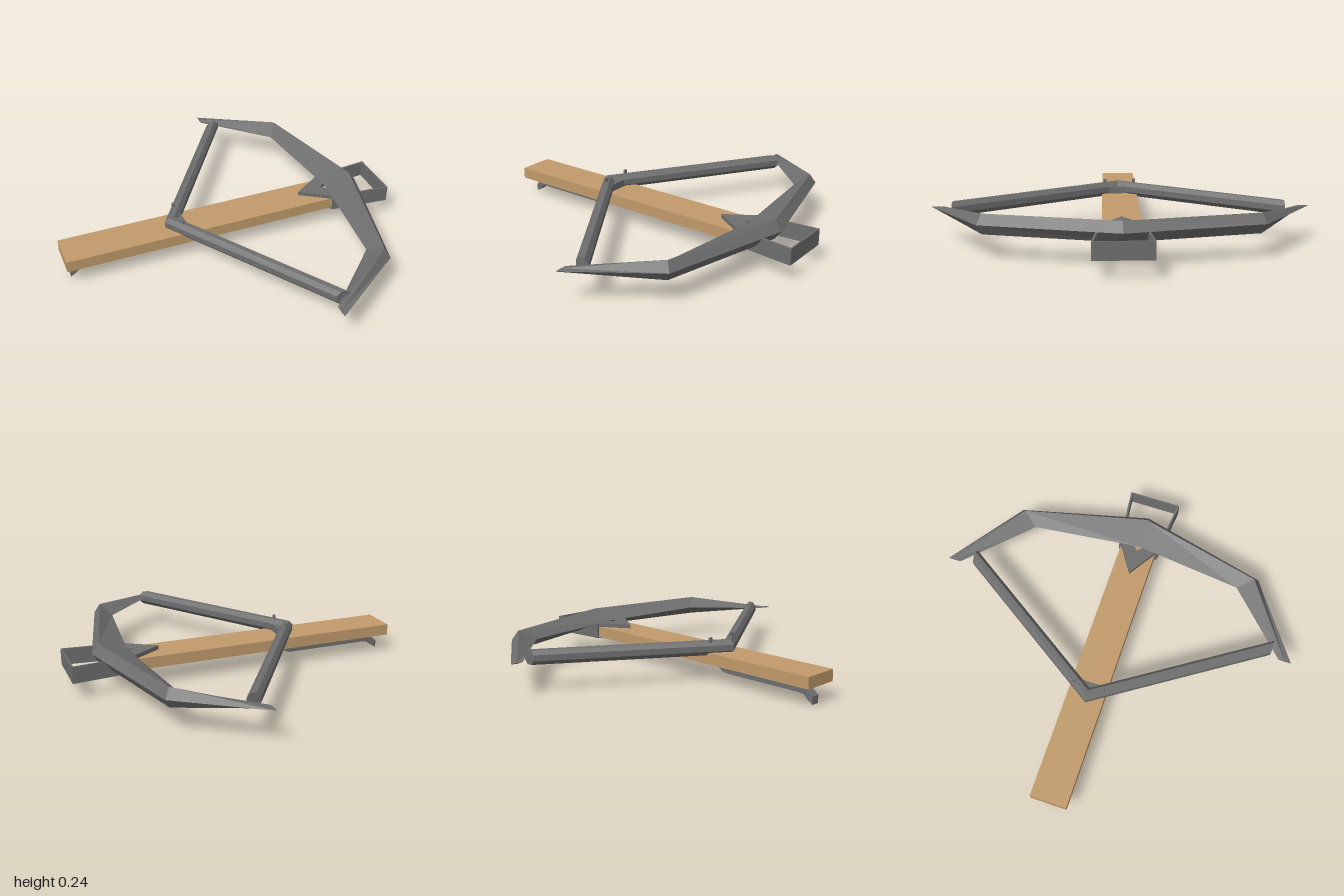
import * as THREE from 'three';

// Flat-shaded closed solid through cross-sections ordered along +z
// (each section counter-clockwise seen from +z).
function loft(rings) {
  const pos = [];
  const n = rings[0].length;
  const tri = (a, b, c) => pos.push(...a, ...b, ...c);
  for (let i = 0; i < rings.length - 1; i++) {
    for (let j = 0; j < n; j++) {
      const k = (j + 1) % n;
      tri(rings[i][j], rings[i][k], rings[i + 1][k]);
      tri(rings[i][j], rings[i + 1][k], rings[i + 1][j]);
    }
  }
  const first = rings[0], last = rings[rings.length - 1];
  for (let j = 1; j < n - 1; j++) {
    tri(first[0], first[j + 1], first[j]);
    tri(last[0], last[j], last[j + 1]);
  }
  const g = new THREE.BufferGeometry();
  g.setAttribute('position', new THREE.Float32BufferAttribute(pos, 3));
  g.computeVertexNormals();
  return g;
}

export function createModel() {
  const model = new THREE.Group();
  model.name = 'crossbow';
  const wood = new THREE.MeshStandardMaterial({ color: 0xc19a6b });
  wood.name = 'wood';
  const metal = new THREE.MeshStandardMaterial({ color: 0x6e6e6e });
  metal.name = 'grey metal';

  const add = (name, geometry, material) => {
    const mesh = new THREE.Mesh(geometry, material);
    mesh.name = name;
    model.add(mesh);
    return mesh;
  };
  const box = (name, material, x0, x1, y0, y1, z0, z1) =>
    add(name, new THREE.BoxGeometry(x1 - x0, y1 - y0, z1 - z0), material)
      .position.set((x0 + x1) / 2, (y0 + y1) / 2, (z0 + z1) / 2);

  // Wooden stock
  box('stock', wood, -0.93, 0.6, 0.1, 0.162, -0.1, 0.1);

  // Bow: diamond sections given as inner edge, ridge and outer edge [x, z], half height
  const mid = 0.184;
  const half = [
    [[0.6, 0], [0.75, 0], [0.79, 0], 0.052],
    [[0.53, 0.6], [0.585, 0.68], [0.612, 0.705], 0.052],
    [[0.19, 0.93], [0.19, 0.965], [0.19, 1.0], 0.003],
  ];
  const section = ([inner, ridge, outer, h], s) => [
    [inner[0], mid, s * inner[1]],
    [ridge[0], mid - h, s * ridge[1]],
    [outer[0], mid, s * outer[1]],
    [ridge[0], mid + h, s * ridge[1]],
  ];
  add('bow', loft([
    section(half[2], -1), section(half[1], -1), section(half[0], 1),
    section(half[1], 1), section(half[2], 1),
  ]), metal);

  // Drawn string: octagonal bar bent at the stock
  const octagon = (x, z) => Array.from({ length: 8 }, (_, i) => {
    const a = (i + 0.5) * Math.PI / 4;
    return [x + 0.041 * Math.cos(a), 0.185 + 0.041 * Math.sin(a), z];
  });
  add('string', loft([octagon(0.24, -0.857), octagon(-0.33, 0.01), octagon(0.245, 0.88)]), metal);

  // Catch behind the string, with two small pegs
  const catchShape = new THREE.Shape([
    new THREE.Vector2(-0.32, 0), new THREE.Vector2(-0.26, -0.07),
    new THREE.Vector2(-0.26, 0.07),
  ]);
  const catchGeo = new THREE.ExtrudeGeometry(catchShape, { depth: 0.04, bevelEnabled: false });
  catchGeo.rotateX(-Math.PI / 2).translate(0, 0.16, 0);
  add('catch', catchGeo, metal);
  for (const s of [-1, 1]) {
    box('peg', metal, -0.293, -0.281, 0.2, 0.242, s * 0.083 - 0.009, s * 0.083 + 0.009);
  }

  // Trigger lever under the stock
  const lever = new THREE.Shape([
    [-0.285, 0.1], [-0.31, 0.1], [-0.335, 0.088], [-0.82, 0.088], [-0.86, 0.078],
    [-0.885, 0.057], [-0.903, 0.042], [-0.903, 0], [-0.875, 0.018], [-0.85, 0.042],
    [-0.81, 0.047], [-0.335, 0.047], [-0.305, 0.06], [-0.285, 0.082],
  ].map(p => new THREE.Vector2(...p)));
  const leverGeo = new THREE.ExtrudeGeometry(lever, { depth: 0.046, bevelEnabled: false });
  leverGeo.translate(0, 0, -0.023);
  add('trigger', leverGeo, metal);

  // Pointed clamp: notched arrow plates above and below the stock
  const clampShape = new THREE.Shape([
    [0.43, 0], [0.61, -0.115], [0.61, -0.035], [0.57, 0], [0.61, 0.035], [0.61, 0.115],
  ].map(p => new THREE.Vector2(...p)));
  const clamp = (name, y, depth) => {
    const g = new THREE.ExtrudeGeometry(clampShape, { depth, bevelEnabled: false });
    g.rotateX(-Math.PI / 2).translate(0, y, 0);
    add(name, g, metal);
  };
  clamp('upperClamp', 0.162, 0.022);
  clamp('lowerClamp', 0.094, 0.006);

  // Foot stirrup: two flared side plates joined by an end plate
  for (const s of [-1, 1]) {
    const dx = 0.325, dz = 0.033;
    const side = add('stirrupSide',
      new THREE.BoxGeometry(Math.hypot(dx, dz), 0.09, 0.01), metal);
    side.position.set(0.7575, 0.139, s * 0.125);
    side.rotation.y = -s * Math.atan2(dz, dx);
  }
  box('stirrupEnd', metal, 0.916, 0.925, 0.094, 0.184, -0.146, 0.146);

  return model;
}
